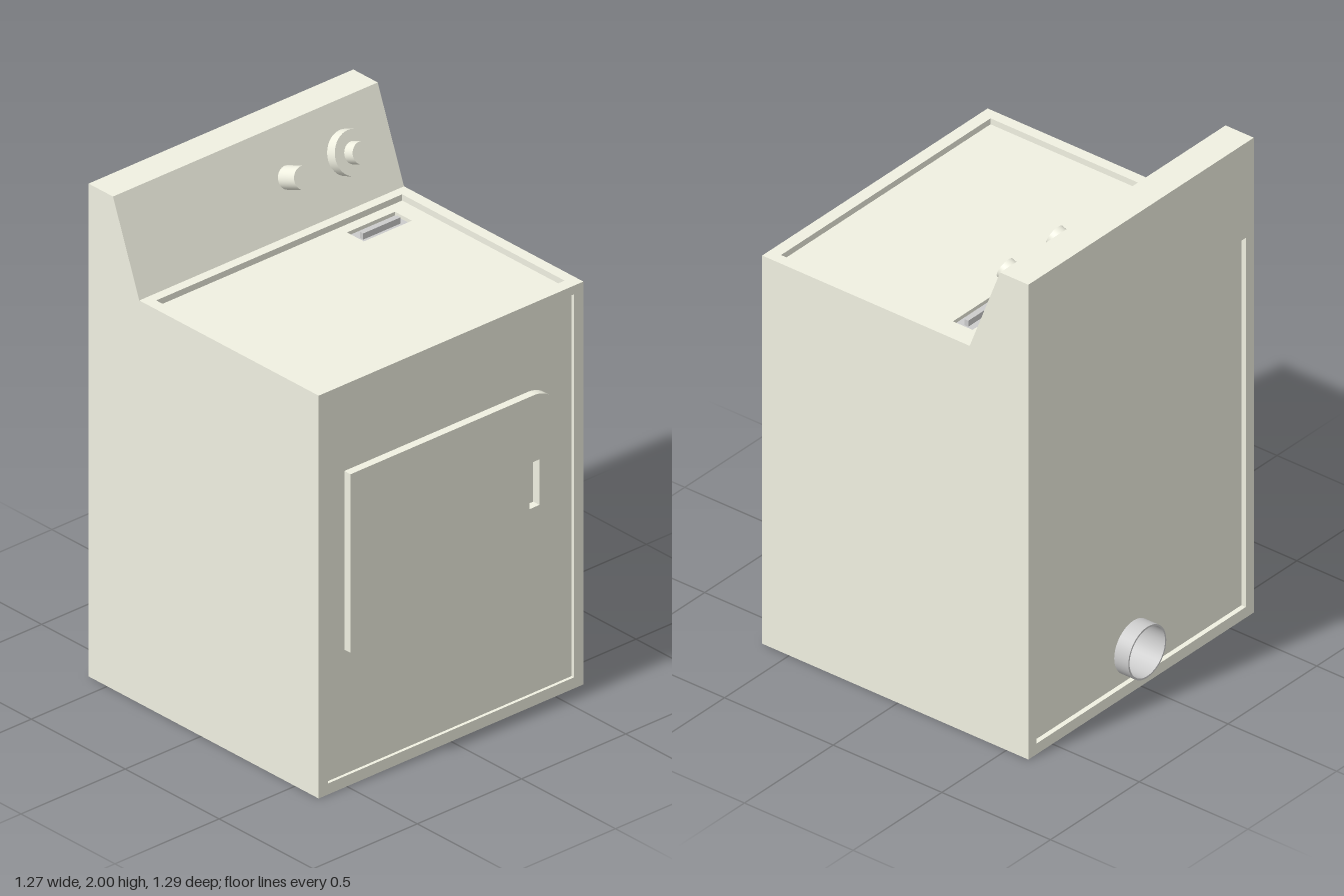
import * as THREE from 'three';

const enamel = new THREE.MeshStandardMaterial({ color: 0xf0f0e1 });
const grey = new THREE.MeshStandardMaterial({ color: 0xcccccc, side: THREE.DoubleSide });

const HALF = 0.635, INSET = 0.59;         // cabinet half width, recess half width
const FRONT = 0.625, BACK = -0.6, DECK = 1.635;

function add(parent, name, geometry, material = enamel) {
  const mesh = new THREE.Mesh(geometry, material);
  mesh.name = name;
  parent.add(mesh);
  return mesh;
}

const polygon = (points) => new THREE.Shape(points.map(([a, b]) => new THREE.Vector2(a, b)));
const rect = (x0, y0, x1, y1) => polygon([[x0, y0], [x1, y0], [x1, y1], [x0, y1]]);

const extrude = (shape, depth, curveSegments = 12) =>
  new THREE.ExtrudeGeometry(shape, { depth, curveSegments, bevelEnabled: false });

// Extrude a (z, y) side profile across x, from x0 to x1
function acrossX(points, x0, x1) {
  return extrude(polygon(points), x1 - x0).rotateY(-Math.PI / 2).translate(x1, 0, 0);
}

export function createModel() {
  const model = new THREE.Group();
  model.name = 'clothesDryer';

  // Cabinet: full side profile on both flanks, notched core in between
  const profile = [[BACK, 0], [FRONT, 0], [FRONT, DECK], [-0.33, DECK], [-0.47, 2], [BACK, 2]];
  add(model, 'leftSide', acrossX(profile, INSET, HALF));
  add(model, 'rightSide', acrossX(profile, -HALF, -INSET));
  add(model, 'cabinetCore', acrossX([
    [BACK, 0], [FRONT, 0], [FRONT, 0.045], [0.612, 0.045],
    [0.612, 1.6], [FRONT, 1.6], [FRONT, DECK], [0.575, DECK],
    [0.575, 1.56], [-0.29, 1.56], [-0.29, DECK], [-0.33, DECK],
    [-0.47, 2], [BACK, 2], [BACK, 1.6], [-0.4, 1.6], [-0.4, 0.045], [BACK, 0.045],
  ], -INSET, INSET));

  // Sunken top panel with an opening for the lint filter
  const top = rect(-INSET, -0.575, INSET, 0.29);
  top.holes.push(rect(0.285, 0.155, 0.515, 0.245));
  add(model, 'topPanel', extrude(top, 0.05).rotateX(-Math.PI / 2).translate(0, 1.56, 0));

  // Lint filter: shallow grey tray with a thin grip
  const filter = new THREE.Group();
  filter.name = 'lintFilter';
  filter.position.set(0.4, 1.56, -0.2);
  add(filter, 'filterTray', new THREE.BoxGeometry(0.23, 0.035, 0.09).translate(0, 0.0175, 0), grey);
  add(filter, 'filterGrip', new THREE.BoxGeometry(0.18, 0.025, 0.018).translate(0, 0.0475, 0.004), grey);
  model.add(filter);

  // Sunken back panel with the vent opening
  const ventX = 0.02, ventY = 0.17, ventR = 0.107;
  const back = rect(-INSET, 0.045, INSET, 1.6);
  back.holes.push(new THREE.Path().absarc(ventX, ventY, ventR - 0.006, 0, Math.PI * 2));
  add(model, 'backPanel', extrude(back, 0.03, 24).translate(0, 0, -0.58));

  // Exhaust vent: open pipe reaching into the cabinet
  const ventProfile = [[0, 0], [0.1, 0], [0.1, 0.235], [ventR, 0.235], [ventR, 0]]
    .map(([r, h]) => new THREE.Vector2(r, h));
  const ventGroup = new THREE.Group();
  ventGroup.name = 'exhaustVent';
  ventGroup.position.set(ventX, ventY, -0.41);
  ventGroup.rotation.x = -Math.PI / 2;
  for (let i = 0; i < ventProfile.length - 1; i++) {
    add(ventGroup, 'ventWall', new THREE.LatheGeometry([ventProfile[i], ventProfile[i + 1]], 40), grey);
  }
  model.add(ventGroup);

  // Door: square on the hinge side, rounded on the handle side, with a finger slot
  const r = 0.12, x0 = -0.5, x1 = 0.5, y0 = 0.55, y1 = 1.275;
  const door = new THREE.Shape();
  door.moveTo(x0, y0);
  door.lineTo(x1 - r, y0);
  door.absarc(x1 - r, y0 + r, r, -Math.PI / 2, 0);
  door.absarc(x1 - r, y1 - r, r, 0, Math.PI / 2);
  door.lineTo(x0, y1);
  door.holes.push(rect(0.358, 0.82, 0.406, 1.005));
  add(model, 'door', extrude(door, 0.033).translate(0, 0, 0.612));

  // Control knobs standing square to the sloped console
  const tilt = Math.PI / 2 - Math.atan2(0.14, 0.365);
  function knob(name, x, discs) {
    const group = new THREE.Group();
    group.name = name;
    group.position.set(x, 1.822, -0.402);
    group.rotation.x = tilt;
    for (const [part, radius, height] of discs) {
      add(group, part, new THREE.CylinderGeometry(radius, radius, height, 40).translate(0, height / 2, 0));
    }
    model.add(group);
  }
  knob('startKnob', 0.141, [['startButton', 0.044, 0.092]]);
  knob('timerKnob', 0.42, [['timerDial', 0.085, 0.044], ['timerGrip', 0.042, 0.092]]);

  return model;
}
